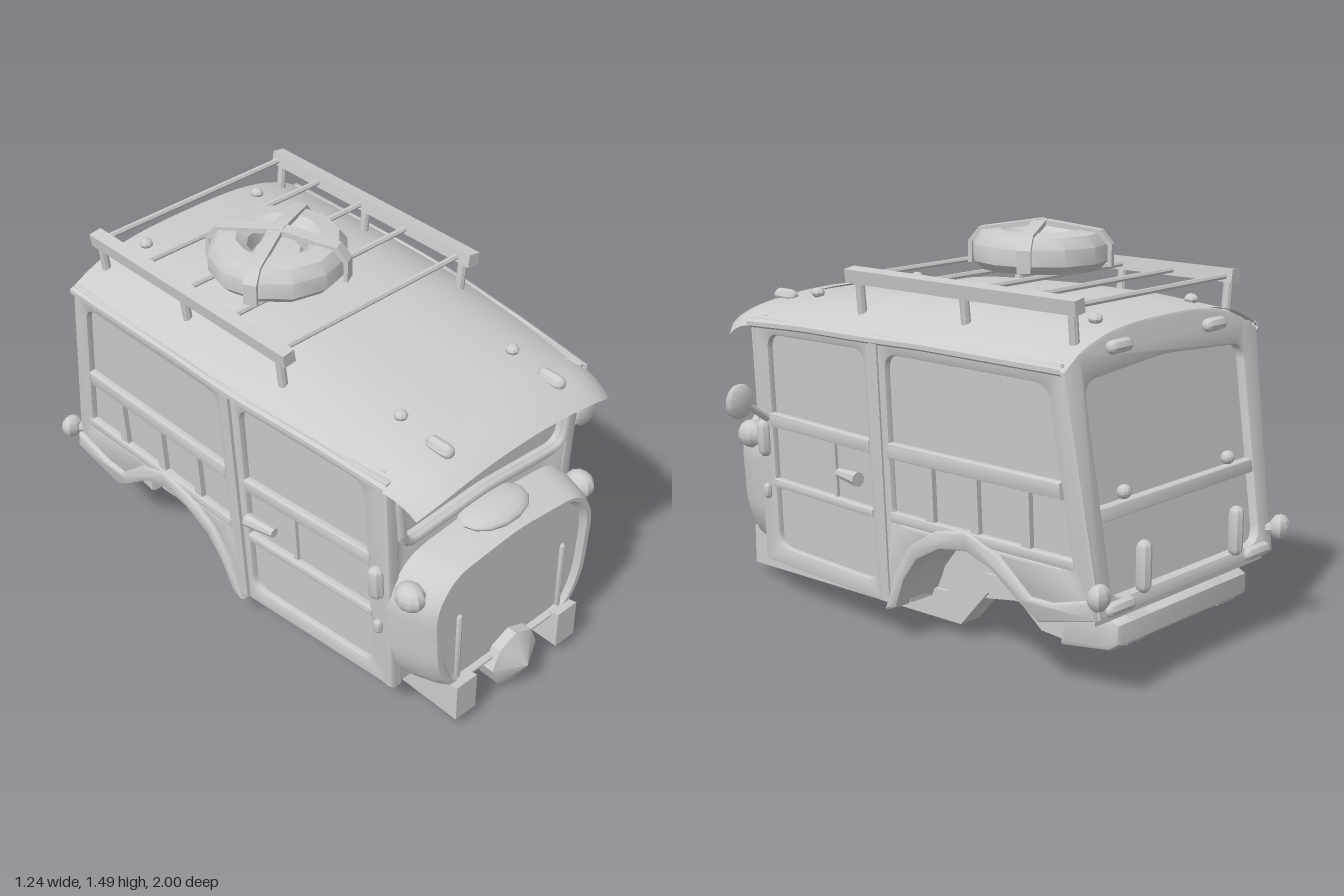
import * as THREE from 'three';
import { toCreasedNormals } from 'three/addons/utils/BufferGeometryUtils.js';

const CX = -0.05; // body centre line (the wing mirror sticks out on one side only)
const V2 = (p) => new THREE.Vector2(p[0], p[1]);
const V3 = (x, y, z) => new THREE.Vector3(x, y, z);
const lerp = THREE.MathUtils.lerp;

// Half width of the body: leans outward to the top, tapers to the nose
const W = (y, z) => (z > 0.05 ? 0.545 - (z - 0.05) * 0.086 : 0.545 + (0.05 - z) * 0.006) - 0.055 * (1.12 - y);
// Sloping tail
const tailZ = (y) => -0.81 - 0.16 * (1.14 - y);
// Roof surface height at z, u = -1..1 across
const ROOF = [[0.76, 1.07, 1.15], [0.45, 1.09, 1.195], [0.15, 1.1, 1.235], [-0.2, 1.11, 1.25], [-0.55, 1.11, 1.25], [-0.82, 1.11, 1.225]];
function roofY(z, u) {
  let i = 0;
  while (i < ROOF.length - 2 && z < ROOF[i + 1][0]) i++;
  const a = ROOF[i], b = ROOF[i + 1], t = (a[0] - z) / (a[0] - b[0]);
  const e = lerp(a[1], b[1], t), c = lerp(a[2], b[2], t);
  return e + (c - e) * (1 - Math.abs(u) ** 3.2);
}

// Closed polygon with rounded corners
function roundPoly(pts, r, Type = THREE.Shape) {
  const s = new Type(), n = pts.length;
  pts.forEach((p, i) => {
    const c = V2(p), a = V2(pts[(i + n - 1) % n]).sub(c), b = V2(pts[(i + 1) % n]).sub(c);
    const p0 = c.clone().add(a.clone().setLength(Math.min(r, a.length() * 0.45)));
    const p1 = c.clone().add(b.clone().setLength(Math.min(r, b.length() * 0.45)));
    if (i) s.lineTo(p0.x, p0.y); else s.moveTo(p0.x, p0.y);
    s.quadraticCurveTo(c.x, c.y, p1.x, p1.y);
  });
  s.closePath();
  return s;
}

// Plate from an outline with rounded holes
function plate(pts, holes, d0, d1, bevel = 0) {
  const s = new THREE.Shape(pts.map(V2));
  s.holes = holes.map((h) => roundPoly(h, 0.06, THREE.Path));
  const g = new THREE.ExtrudeGeometry(s, { depth: d1 - d0 - bevel, bevelEnabled: bevel > 0, bevelSize: bevel, bevelThickness: bevel, bevelOffset: -bevel, bevelSegments: 2, curveSegments: 5 });
  return g.translate(0, 0, d0);
}

// Moves every vertex by a rule; flip restores the winding after a mirroring rule
function warp(geo, rule, flip) {
  const g = geo.index ? geo.toNonIndexed() : geo.clone(), p = g.attributes.position;
  for (let i = 0; i < p.count; i++) p.setXYZ(i, ...rule(p.getX(i), p.getY(i), p.getZ(i)));
  if (flip) for (let i = 0; i < p.count; i += 3) {
    const a = V3().fromBufferAttribute(p, i + 1), b = V3().fromBufferAttribute(p, i + 2);
    p.setXYZ(i + 1, b.x, b.y, b.z);
    p.setXYZ(i + 2, a.x, a.y, a.z);
  }
  return g;
}

// Surface through rows of points
function loft(rows) {
  const n = rows[0].length, idx = [], g = new THREE.BufferGeometry();
  g.setAttribute('position', new THREE.Float32BufferAttribute(rows.flat(2), 3));
  for (let i = 0; i < rows.length - 1; i++) for (let j = 0; j < n - 1; j++) {
    const a = i * n + j, b = a + n;
    idx.push(a, b, a + 1, b, b + 1, a + 1);
  }
  g.setIndex(idx);
  return g;
}
const span = (n, f) => Array.from({ length: n + 1 }, (_, i) => f(i / n));
const box = (x0, x1, y0, y1, z0, z1) => new THREE.BoxGeometry(x1 - x0, y1 - y0, z1 - z0).translate((x0 + x1) / 2, (y0 + y1) / 2, (z0 + z1) / 2);
function rod(a, b, r, sides = 8, r2 = r) {
  const d = b.clone().sub(a), g = new THREE.CylinderGeometry(r2, r, d.length(), sides);
  g.applyQuaternion(new THREE.Quaternion().setFromUnitVectors(V3(0, 1, 0), d.clone().normalize()));
  return g.translate(...a.clone().add(b).multiplyScalar(0.5).toArray());
}
const ball = (x, y, z, rx, ry = rx, rz = rx, s = 10) => new THREE.SphereGeometry(1, s, Math.ceil(s * 0.7)).scale(rx, ry, rz).translate(x, y, z);
const pill = (x, y, z, r, len, axis) => {
  const g = new THREE.CapsuleGeometry(r, len, 3, 8);
  if (axis === 'x') g.rotateZ(Math.PI / 2);
  if (axis === 'z') g.rotateX(Math.PI / 2);
  return g.translate(x, y, z);
};

export function createModel() {
  const model = new THREE.Group();
  const mat = new THREE.MeshStandardMaterial({ color: 0xcccccc, side: THREE.DoubleSide });
  const add = (name, geo, crease = 0.6) => {
    const m = new THREE.Mesh(toCreasedNormals(geo, crease), mat);
    m.name = name;
    model.add(m);
  };
  // Side parts: drawn in (z, y, outward depth), placed on both flanks
  const sides = (name, geo, crease) => [1, -1].forEach((s) =>
    add(name, warp(geo, (z, y, d) => [CX + s * (W(y, z) + d), y, z], s > 0), crease));
  // Tail parts: drawn in (x, y, outward depth)
  const tail = (name, geo) => add(name, warp(geo, (x, y, d) => [CX + x, y, tailZ(y) - d], true));
  const pair = (name, make) => [1, -1].forEach((s) => add(name, make(s)));

  // Flanks: recessed panels behind a frame, split at the centre pillar
  const arch = [[-0.03, 0.13], [-0.08, 0.25], [-0.15, 0.34], [-0.26, 0.4], [-0.38, 0.42], [-0.5, 0.38], [-0.62, 0.29], [-0.7, 0.24]];
  const front = [[0.75, 0.13], [0.75, 1.09], [0.05, 1.12], [0.05, 0.13]];
  const rear = [[0.05, 0.13], [0.05, 1.12], [-0.81, 1.13], [tailZ(0.3), 0.3], ...arch.slice().reverse()];
  const doorHole = [[0.66, 0.2], [0.65, 1.04], [0.09, 1.06], [0.08, 0.2]];
  const rearHole = [[-0.02, 0.445], [-0.02, 1.06], [-0.755, 1.06], [-0.845, 0.445]];
  sides('doorPanel', plate(front, [], -0.04, -0.025));
  sides('rearSidePanel', plate(rear, [], -0.04, -0.025));
  sides('doorFrame', plate(front, [doorHole], -0.04, 0, 0.008));
  sides('rearSideFrame', plate(rear, [rearHole], -0.04, 0, 0.008));
  sides('centrePillarTrim', box(0.01, 0.05, 0.14, 1.11, -0.03, 0.008));
  [[0.67, 0.08, 0.68, 0.735], [0.67, 0.08, 0.44, 0.475], [-0.01, -0.8, 0.68, 0.74], [-0.01, -0.85, 0.445, 0.485]]
    .forEach(([z0, z1, y0, y1]) => sides('sideRail', plate([[z0, y0], [z0, y1], [z1, y1], [z1, y0]], [], -0.03, 0.006, 0.012)));
  [-0.2, -0.41, -0.64].forEach((z) => sides('sidePost', box(z - 0.02, z + 0.02, 0.47, 0.69, -0.03, -0.004)));
  sides('doorPost', box(0.295, 0.31, 0.47, 0.69, -0.03, -0.012));
  sides('doorHandle', rod(V3(0.24, 0.585, 0.02), V3(0.12, 0.585, 0.03), 0.018, 8, 0.028));
  [0.42, 0.63].forEach((y) => sides('doorHinge', pill(0.7, y, 0.008, y > 0.5 ? 0.028 : 0.016, y > 0.5 ? 0.09 : 0.03)));

  // Wheel arches: raised lip, curved well and inner wall
  const outer = arch.map(([z, y]) => [-0.36 + (z + 0.36) * 1.17, 0.2 + (y - 0.2) * 1.32]);
  sides('archLip', plate([...arch, [tailZ(0.3), 0.3], [tailZ(0.37), 0.37], [-0.76, 0.32], ...outer.slice(0, -1).reverse()], [], -0.05, 0.02, 0.012));
  pair('wheelWell', (s) => loft([0, 0.3, 0.7, 1].map((t) => arch.map(([z, y]) =>
    [CX + s * lerp(W(y, z), 0.3, t), y + 0.02 * Math.sin(t * Math.PI), z]))));
  pair('wheelWellWall', (s) => plate(arch, [], 0, 0.01).rotateY(-Math.PI / 2).translate(CX + s * 0.3, 0, 0));

  // Roof
  add('roof', loft(span(24, (t) => {
    const z = lerp(0.76, -0.825, t);
    return span(28, (v) => {
      const u = Math.sin((v - 0.5) * Math.PI);
      return [CX + u * (W(1.12, z) + 0.008), roofY(z, u), z];
    });
  })), 0.9);
  pair('roofGutter', (s) => new THREE.TubeGeometry(new THREE.CatmullRomCurve3(span(10, (t) => {
    const z = lerp(0.75, -0.82, t);
    return V3(CX + s * W(1.11, z), roofY(z, 1), z);
  })), 24, 0.016, 6));
  const roofArc = (z, w) => span(14, (t) => { const u = 1 - 2 * t; return [u * w, roofY(z, u) - 0.004]; });

  // Nose wall with windscreen
  const screen = [[-0.4, 0.78], [0, 0.805], [0.4, 0.78], [0.43, 1.04], [0, 1.08], [-0.43, 1.04]];
  add('noseWall', plate([[-W(0.13, 0.74), 0.13], [W(0.13, 0.74), 0.13], ...roofArc(0.74, W(1.1, 0.74))], [screen], 0.68, 0.745, 0.012).translate(CX, 0, 0));
  add('windscreen', box(CX - 0.45, CX + 0.45, 0.75, 1.1, 0.69, 0.71));
  const loop = (s, z) => s.getPoints(5).map((p) => V3(CX + p.x, p.y, z));
  add('windscreenTrim', new THREE.TubeGeometry(new THREE.CatmullRomCurve3(loop(roundPoly(screen, 0.06), 0.75), true), 80, 0.018, 6, true), 1.2);

  // Snub bonnet with a rimmed front panel
  const nose = roundPoly([[-0.3, 0.17], [0.3, 0.17], [0.365, 0.3], [0.385, 0.58], [0.3, 0.695], [0, 0.725], [-0.3, 0.695], [-0.385, 0.58], [-0.365, 0.3]], 0.07).getPoints(5);
  add('bonnet', loft([[0.74, 1.2, 1.09], [0.8, 1.17, 1.07], [0.88, 1.1, 1.03], [0.915, 1.04, 1], [0.915, 0.98, 0.97], [0.895, 0.93, 0.93], [0.895, 0, 0]]
    .map(([z, sx, sy]) => nose.map((p) => [CX + p.x * sx, 0.44 + (p.y - 0.44) * sy, z]))), 0.5);
  add('bonnetBulge', ball(CX, 0.745, 0.79, 0.15, 0.035, 0.1, 14), 1);
  pair('frontPanelRib', (s) => pill(CX + s * 0.265, 0.33, 0.897, 0.012, 0.28));
  pair('cornerLamp', (s) => ball(CX + s * 0.43, 0.62, 0.82, 0.05, 0.055, 0.06));

  // Sun visor and its clips
  add('sunVisor', loft(span(6, (v) => span(24, (t) => {
    const u = 2 * t - 1, edge = Math.abs(u) ** 10;
    return [CX + u * (0.495 - 0.02 * v), 1.105 - 0.05 * v * v + 0.055 * (1 - u * u) - 0.045 * edge, 0.74 + v * (0.18 - 0.04 * edge)];
  }))), 0.9);
  pair('visorClip', (s) => pill(CX + s * 0.27, 1.145, 0.78, 0.027, 0.06, 'z'));
  [0.6, -0.73].forEach((z) => pair('roofStud', (s) => ball(CX + s * 0.27, roofY(z, 0.5) + 0.012, z, 0.025, 0.02, 0.025, 8)));

  // Tail: frame, window, hatch and fittings
  const tw = (y) => W(y, tailZ(y)) - 0.002;
  add('tailSkirtFloor', box(CX - 0.49, CX + 0.49, 0.27, 0.3, -0.92, -0.7));
  const tailOutline = [[-tw(0.3), 0.3], [tw(0.3), 0.3], ...roofArc(-0.81, tw(1.12))];
  tail('tailPanel', plate(tailOutline, [], -0.04, -0.025));
  tail('tailFrame', plate(tailOutline, [[[-0.43, 0.35], [0.43, 0.35], [0.45, 1.06], [0, 1.09], [-0.45, 1.06]]], -0.04, 0.01, 0.01));
  tail('tailRail', plate([[-0.45, 0.6], [0.45, 0.6], [0.45, 0.65], [-0.45, 0.65]], [], -0.03, 0.005, 0.01));
  pair('hatchHinge', (s) => pill(CX + s * 0.27, 0.43, tailZ(0.43) - 0.025, 0.027, 0.13));
  pair('windowLatch', (s) => ball(CX + s * 0.3, 0.68, tailZ(0.68), 0.028, 0.025, 0.025));
  pair('roofHinge', (s) => pill(CX + s * 0.27, 1.155, -0.83, 0.025, 0.07, 'x'));
  pair('tailCornerGrip', (s) => pill(CX + s * 0.4, 0.325, -0.95, 0.025, 0.1, 'x'));
  pair('tailLampStalk', (s) => rod(V3(CX + s * 0.46, 0.385, -0.9), V3(CX + s * 0.52, 0.385, -0.96), 0.022));
  pair('tailLamp', (s) => ball(CX + s * 0.53, 0.39, -0.965, 0.047, 0.047, 0.035, 8));

  // Chassis: floor, kinked rails, pan and rear crossmember
  const under = [[0.95, 0.045], [-0.17, 0.05], [-0.3, 0.2], [-0.45, 0.2], [-0.55, 0.12], [-0.68, 0.11], [-0.92, 0.16]];
  const over = [[-0.94, 0.25], [-0.9, 0.28], [-0.66, 0.24], [-0.5, 0.27], [-0.28, 0.27], [-0.1, 0.16], [0.8, 0.16], [0.95, 0.2]];
  add('cabFloor', box(CX - 0.43, CX + 0.43, 0.13, 0.16, -0.03, 0.74));
  const rail = new THREE.ExtrudeGeometry(new THREE.Shape([...under, ...over].map(V2)), { depth: 0.1, bevelEnabled: false });
  pair('chassisRail', (s) => rail.clone().rotateY(-Math.PI / 2).translate(CX + s * 0.265 + 0.05, 0, 0));
  add('chassisPan', loft([-0.27, 0.27].map((x) => under.map(([z, y]) => [CX + x, y + 0.07, Math.min(z, 0.8)]))));
  add('rearCrossmember', plate([[-0.69, 0.12], [-0.9, 0.15], [-0.94, 0.18], [-0.94, 0.25], [-0.9, 0.27], [-0.69, 0.25]], [], 0, 0.74, 0.02).rotateY(-Math.PI / 2).translate(CX + 0.37, 0, 0));
  add('driveHousing', ball(CX, 0.14, 0.77, 0.23, 0.14, 0.11, 14), 0.9);
  add('frontHub', rod(V3(CX, 0.13, 0.85), V3(CX, 0.13, 0.935), 0.115));
  add('hubCap', new THREE.ConeGeometry(0.115, 0.065, 8).rotateX(Math.PI / 2).translate(CX, 0.13, 0.9675));
  add('driveShaft', rod(V3(CX, 0.08, 0.75), V3(CX, 0.08, 0.15), 0.018));
  add('shaftNut', ball(CX, 0.08, 0.15, 0.032, 0.032, 0.03, 8));
  add('crossTube', rod(V3(CX - 0.25, 0.09, 0.32), V3(CX + 0.25, 0.09, 0.32), 0.014));

  // Roof rack
  pair('rackRail', (s) => box(-0.025, 0.025, -0.025, 0.025, -0.525, 0.525).rotateZ(-s * 0.15).translate(CX + s * 0.44, 1.3, -0.275));
  [0.2, -0.3, -0.77].forEach((z) => pair('rackLeg', (s) => rod(V3(CX + s * 0.425, roofY(z, 0.8) - 0.02, z), V3(CX + s * 0.44, 1.29, z), 0.017)));
  [-0.77, -0.54, -0.31, -0.07, 0.19].forEach((z) => add('rackBar', rod(V3(CX - 0.44, 1.3, z), V3(CX + 0.44, 1.3, z), 0.011, 6)));

  // Spare wheel with two crossed straps
  const TX = -0.16, TZ = -0.175;
  const tyre = [[0.11, 1.32], [0.22, 1.31], [0.25, 1.34], [0.25, 1.4], [0.22, 1.44], [0.15, 1.45], [0.11, 1.42], [0.11, 1.32]];
  add('spareTyre', new THREE.LatheGeometry(tyre.map(V2), 12).translate(TX, 0, TZ), 0.7);
  add('spareRim', new THREE.CylinderGeometry(0.08, 0.12, 0.06, 12).translate(TX, 1.36, TZ));
  const half = [[0.265, 1.32], [0.265, 1.4], [0.225, 1.45], [0, 1.485]], inner = [[0, 1.465], [0.215, 1.435], [0.25, 1.395], [0.25, 1.32]];
  const mir = (a) => a.map(([x, y]) => [-x, y]).reverse();
  const strap = [...half, ...mir(half).slice(1), ...mir(inner), ...inner.slice(1)];
  [0.47, -1.08].forEach((a) => add('tyreStrap', plate(strap, [], -0.025, 0.025).rotateY(a).translate(TX, 0, TZ)));

  // Wing mirror, left side only
  add('mirrorArm', rod(V3(0.42, 0.71, 0.68), V3(0.52, 0.78, 0.68), 0.014));
  add('mirrorHead', ball(0.55, 0.795, 0.685, 0.068, 0.068, 0.025, 10));
  return model;
}
